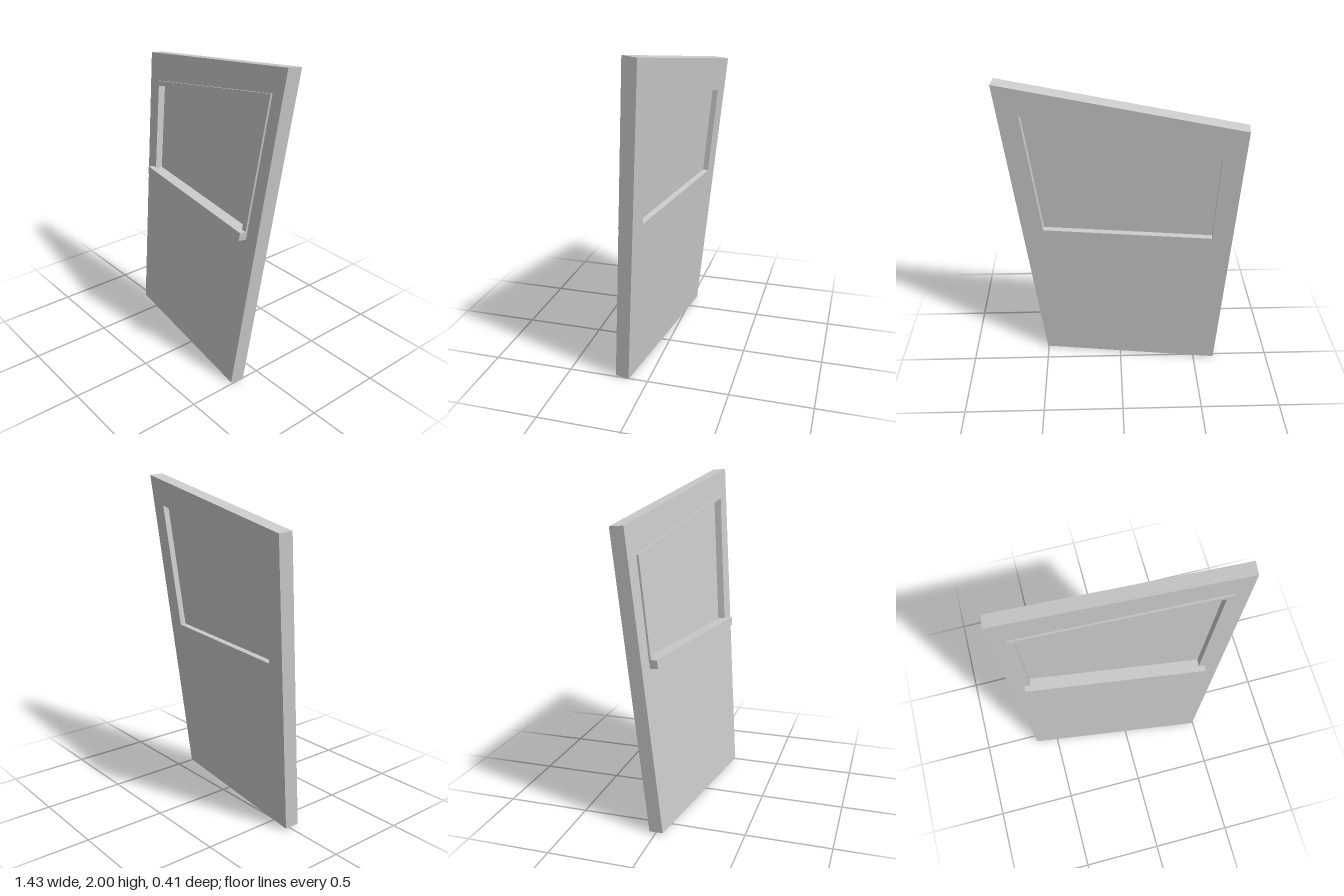
import * as THREE from 'three';

export function createModel() {
  const group = new THREE.Group();
  group.name = 'leaningWallWithWindow';
  const material = new THREE.MeshStandardMaterial({ color: 0xcccccc, flatShading: true });

  // The wall leans back and is turned a little: its front plane is z = offset + slopeX*x + slopeY*y
  const slopeX = 0.135, slopeY = -0.092, offset = 0.138;
  const n = new THREE.Vector3(-slopeX, -slopeY, 1).normalize();
  const lean = new THREE.Matrix4().set(
    1, 0, n.x, 0,
    0, 1, n.y, 0,
    slopeX, slopeY, n.z, offset,
    0, 0, 0, 1
  );

  const toPoints = (list) => list.map(([x, y]) => new THREE.Vector2(x, y));

  // Outline on the front plane, extruded from depth d0 to d1 along the plane's normal
  function slab(name, outline, d0, d1, hole) {
    const shape = new THREE.Shape(toPoints(outline));
    if (hole) shape.holes.push(new THREE.Path(toPoints(hole)));
    const geometry = new THREE.ExtrudeGeometry(shape, { depth: d1 - d0, bevelEnabled: false });
    geometry.translate(0, 0, d0).applyMatrix4(lean);
    geometry.computeVertexNormals();
    const mesh = new THREE.Mesh(geometry, material);
    mesh.name = name;
    group.add(mesh);
  }

  // Corners: bottom left, bottom right, top right, top left
  const wall = [[-0.646, 0.017], [0.495, 0.008], [0.704, 2.0], [-0.715, 1.777]];
  const opening = [[-0.564, 1.035], [0.469, 1.028], [0.56, 1.815], [-0.578, 1.59]];
  const rim = [[-0.598, 1.035], [0.505, 1.028], [0.6, 1.843], [-0.613, 1.615]];

  slab('wall', wall, -0.086, 0, opening);
  slab('windowPane', opening, -0.05, -0.033);

  // Flat trim along both sides and the top of the opening
  slab('windowTrim', [rim[0], opening[0], opening[3], opening[2], opening[1], rim[1], rim[2], rim[3]], 0, 0.012);

  // Ledge below the opening
  slab('windowSill', [[-0.595, 0.984], [0.5, 0.977], rim[1], rim[0]], 0, 0.05);

  return group;
}
